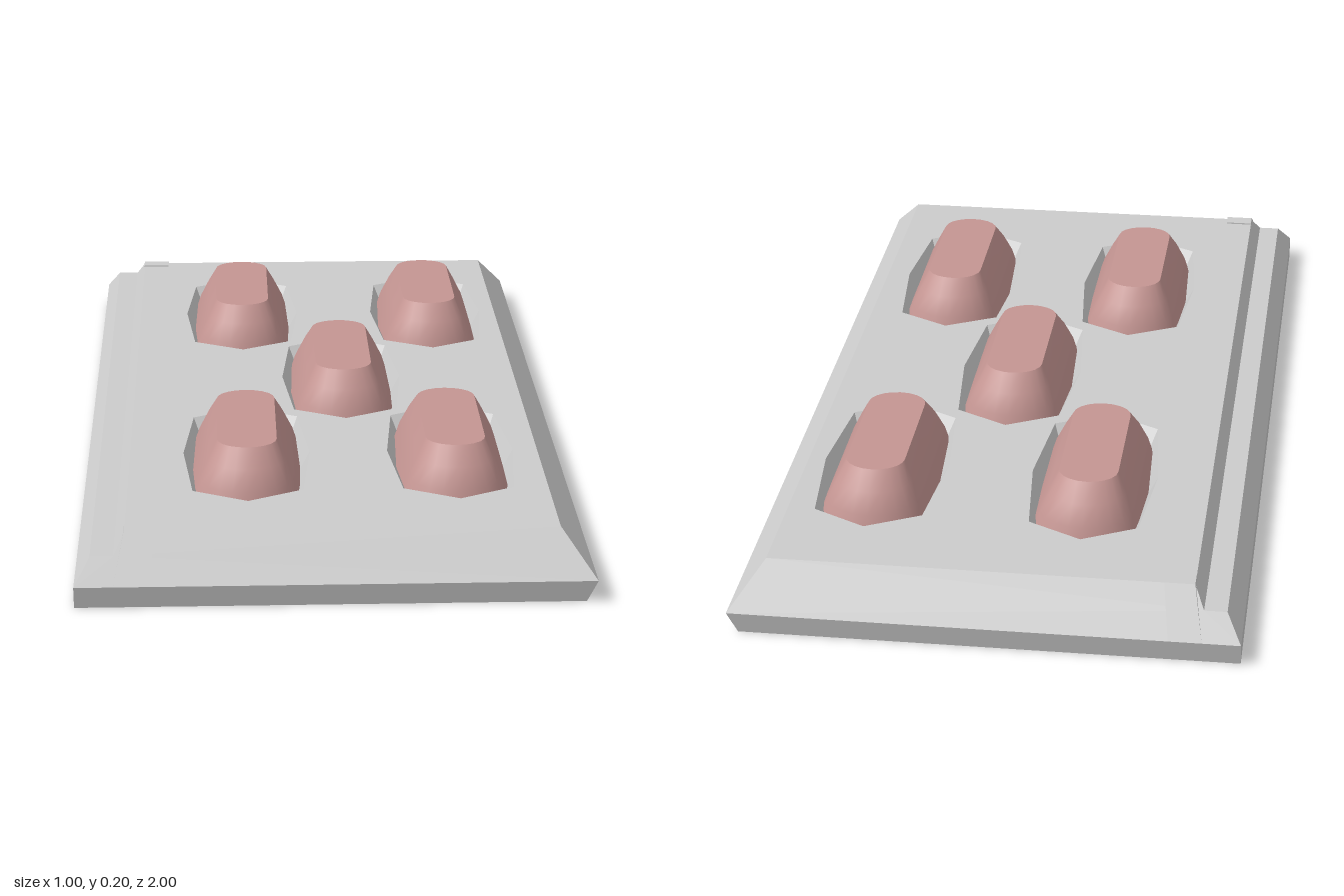
import * as THREE from 'three';
import { toCreasedNormals } from 'three/addons/utils/BufferGeometryUtils.js';
import { ConvexGeometry } from 'three/addons/geometries/ConvexGeometry.js';

const grey = new THREE.MeshStandardMaterial({ color: 0xcccccc, flatShading: true });
const pink = new THREE.MeshStandardMaterial({ color: 0xc49592 });

const TOP = 0.125;
const CENTRES = [[-0.165, -0.485], [0.27, -0.485], [0.05, -0.005], [-0.165, 0.48], [0.255, 0.48]];
// outline of the hollow around each lozenge, in x and z
const HOLLOW = [[0.13, 0], [0.11, 0.22], [0, 0.28], [-0.11, 0.22], [-0.13, 0], [-0.11, -0.22], [0, -0.28], [0.11, -0.22]];

function geometryFrom(points, index) {
  const g = new THREE.BufferGeometry();
  g.setAttribute('position', new THREE.Float32BufferAttribute(points.flat(), 3));
  g.setIndex(index);
  g.computeVertexNormals();
  return g;
}

function mesh(name, geometry, material) {
  const m = new THREE.Mesh(geometry, material);
  m.name = name;
  return m;
}

// skin closed rings from first to last, optionally capping the last one
function loft(rings, cap) {
  const n = rings[0].length, points = rings.flat(), index = [];
  for (let r = 0; r < rings.length - 1; r++) {
    for (let i = 0; i < n; i++) {
      const a = r * n + i, b = r * n + (i + 1) % n;
      index.push(a, a + n, b, b, a + n, b + n);
    }
  }
  if (cap) {
    const last = (rings.length - 1) * n;
    for (let i = 1; i < n - 1; i++) index.push(last, last + i + 1, last + i);
  }
  return geometryFrom(points, index);
}

// bevelled slab sides, ends and underside; the profile carries x, y and half length
function slabGeometry() {
  const profile = [
    [-0.5, 0, 0.99], [-0.5, 0.045, 1], [-0.47, 0.09, 0.952], [-0.425, 0.09, 0.952],
    [-0.405, TOP, 0.915], [0.435, TOP, 0.915], [0.5, 0.045, 1], [0.48, 0, 0.99],
  ];
  const n = profile.length, index = [];
  const points = [...profile, ...profile.map(([x, y, z]) => [x, y, -z])];
  for (let i = 0; i < n; i++) {
    if (i === 4) continue; // the top deck is a separate part
    const j = (i + 1) % n;
    index.push(i, j, j + n, i, j + n, i + n);
  }
  const end = [[3, 5, 4], [3, 6, 5], [3, 1, 6], [3, 2, 1], [0, 7, 6], [0, 6, 1]];
  for (const [a, b, c] of end) index.push(a, b, c, a + n, c + n, b + n);
  return geometryFrom(points, index);
}

// flat top with an opening for each hollow
function deckGeometry() {
  const path = (pts) => pts.map(([x, z]) => new THREE.Vector2(x, -z));
  const shape = new THREE.Shape(path([[-0.405, 0.915], [0.435, 0.915], [0.435, -0.915], [-0.405, -0.915]]));
  for (const [cx, cz] of CENTRES) {
    shape.holes.push(new THREE.Path(path(HOLLOW.map(([x, z]) => [x + cx, z + cz]))));
  }
  return new THREE.ShapeGeometry(shape).rotateX(-Math.PI / 2).translate(0, TOP, 0);
}

// rounded oblong tapering towards a flat top
function lozengeGeometry() {
  const levels = [[0.06, 0.12, 0.25], [TOP, 0.098, 0.235], [0.165, 0.078, 0.213], [0.2, 0.06, 0.178]];
  const half = 10;
  const rings = levels.map(([y, w, l]) => {
    const ring = [], straight = l - w * 0.85;
    for (const s of [1, -1]) {
      for (let i = 0; i <= half; i++) {
        const t = (i / half) * Math.PI;
        ring.push([s * w * Math.cos(t), y, s * (straight + (l - straight) * Math.sin(t))]);
      }
    }
    return ring;
  });
  return toCreasedNormals(loft(rings, true), 0.5);
}

export function createModel() {
  const model = new THREE.Group();
  model.name = 'slab';
  model.add(mesh('slabBody', slabGeometry(), grey), mesh('topDeck', deckGeometry(), grey));

  // lozenges sitting in shallow hollows
  const lozenge = lozengeGeometry();
  const hollow = loft([[1, TOP], [0.8, 0.075]].map(([s, y]) => HOLLOW.map(([x, z]) => [x * s, y, z * s])), false);
  CENTRES.forEach(([x, z], i) => {
    const group = new THREE.Group();
    group.name = `lozengeSeat${i + 1}`;
    group.position.set(x, 0, z);
    group.add(mesh('hollow', hollow, grey), mesh('lozenge', lozenge, pink));
    model.add(group);
  });

  // small raised tabs at both ends of the stepped edge
  const tab = [
    [-0.405, 0.128, 0.885], [-0.345, 0.128, 0.885], [-0.405, 0.128, 0.92], [-0.345, 0.128, 0.92],
    [-0.425, 0.045, 1], [-0.36, 0.045, 1], [-0.415, 0.09, 0.885], [-0.36, 0.09, 0.885],
  ];
  for (const s of [1, -1]) {
    const corners = tab.map(([x, y, z]) => new THREE.Vector3(x, y, z * s));
    model.add(mesh(s > 0 ? 'frontTab' : 'backTab', new ConvexGeometry(corners), grey));
  }
  return model;
}
